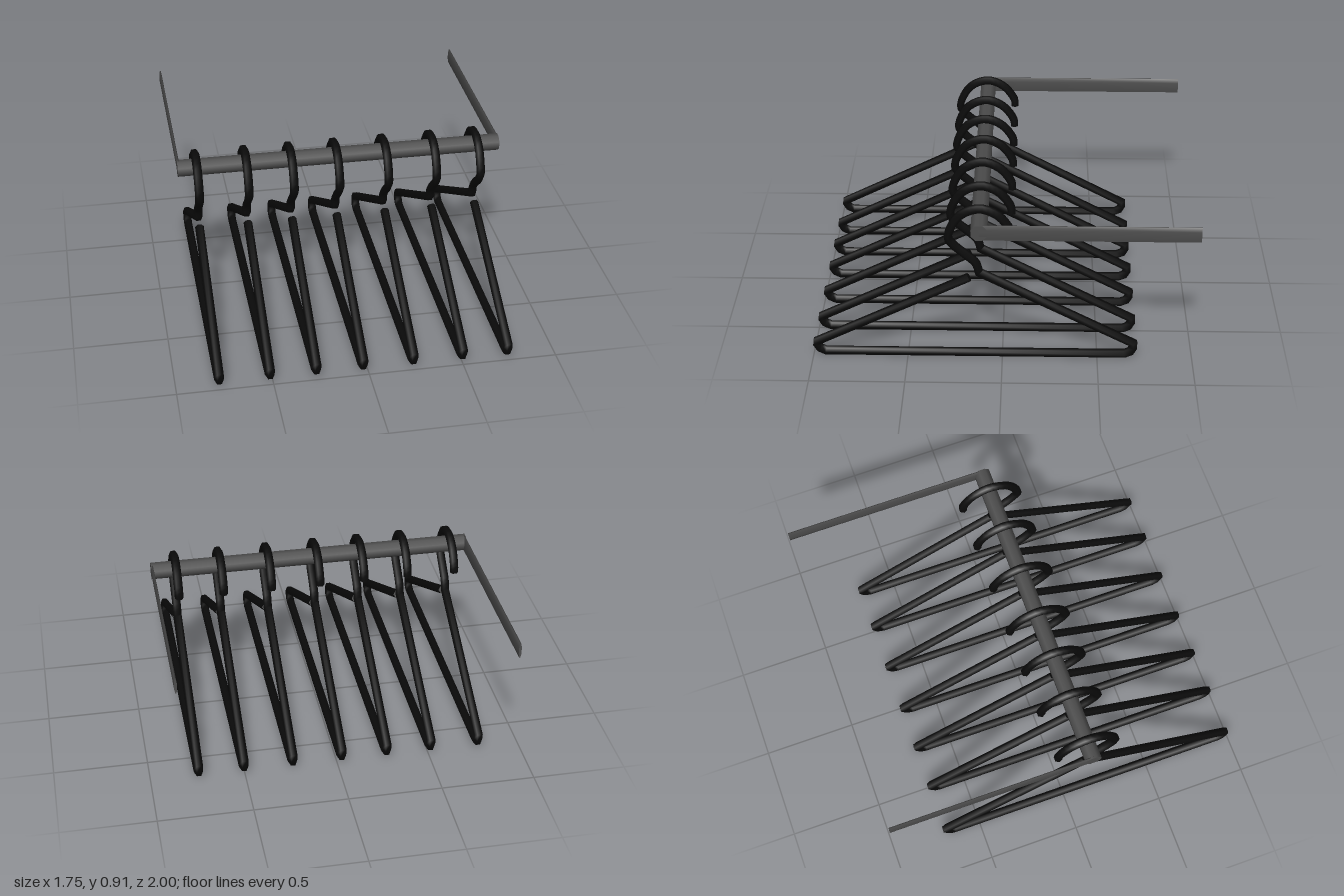
import * as THREE from 'three';

const SIDES = 6, RADIUS = 0.0235;

// Sweeps a hexagonal wire along a path of (z, y) points in the x = 0 plane, with mitred corners.
function wireGeometry(path) {
  const pos = [], idx = [];
  const dir = (a, b) => b.clone().sub(a).normalize();
  const last = path.length - 1;
  const ring = (i) => {
    const before = dir(path[Math.max(i - 1, 0)], path[Math.max(i, 1)]);
    const after = dir(path[Math.min(i, last - 1)], path[Math.min(i + 1, last)]);
    const t = before.clone().add(after).normalize();
    const mitre = 1 / Math.max(t.dot(after), 0.5);
    for (let j = 0; j < SIDES; j++) {
      const a = (j / SIDES) * Math.PI * 2;
      const r = RADIUS * Math.sin(a) * mitre;
      pos.push(RADIUS * Math.cos(a), path[i].y + t.x * r, path[i].x - t.y * r);
    }
  };
  path.forEach((_, i) => ring(i));
  for (let i = 0; i < last; i++) {
    for (let j = 0; j < SIDES; j++) {
      const k = (j + 1) % SIDES, p = i * SIDES, q = p + SIDES;
      idx.push(p + j, p + k, q + k, p + j, q + k, q + j);
    }
  }
  // flat end caps with their own vertices
  const cap = (last + 1) * SIDES;
  ring(0);
  ring(last);
  for (let j = 1; j < SIDES - 1; j++) {
    idx.push(cap, cap + j + 1, cap + j);
    idx.push(cap + SIDES, cap + SIDES + j, cap + SIDES + j + 1);
  }
  const g = new THREE.BufferGeometry();
  g.setAttribute('position', new THREE.Float32BufferAttribute(pos, 3));
  g.setIndex(idx);
  g.computeVertexNormals();
  return g;
}

function hangerPath() {
  const v = ([z, y]) => new THREE.Vector2(z, y);
  // hook and neck
  const hook = new THREE.SplineCurve([
    [-0.043, 0.73], [-0.035, 0.78], [0.025, 0.855], [0.12, 0.89], [0.222, 0.845],
    [0.277, 0.735], [0.247, 0.676], [0.185, 0.62], [0.137, 0.572], [0.12, 0.515],
  ].map(v)).getPoints(32);
  // shoulders and bottom bar, left open below the neck
  const body = [
    [-0.69, 0.086], [-0.69, 0.062], [-0.675, 0.034], [-0.645, 0.021],
    [0.935, 0.021], [0.965, 0.036], [0.98, 0.062], [0.978, 0.08], [0.172, 0.485],
  ].map(v);
  return [...hook, ...body];
}

export function createModel() {
  const model = new THREE.Group();
  const black = new THREE.MeshStandardMaterial({ color: 0x0a0a0a });
  const grey = new THREE.MeshStandardMaterial({ color: 0x4c4c4c });

  // Eight-sided bars with flats on top and front
  const bar = (name, length) => {
    const g = new THREE.CylinderGeometry(0.0455, 0.0455, length, 8);
    g.rotateY(Math.PI / 8);
    const m = new THREE.Mesh(g, grey);
    m.name = name;
    model.add(m);
    return m;
  };

  // Cross rail
  const rail = bar('rail', 1.752);
  rail.geometry.rotateZ(Math.PI / 2);
  rail.position.set(0, 0.822, 0.115);

  // Thin arms running back to the wall
  for (const side of [-1, 1]) {
    const arm = bar(side > 0 ? 'leftArm' : 'rightArm', 1.115);
    arm.geometry.rotateX(Math.PI / 2);
    arm.geometry.scale(0.17, 1, 1);
    arm.geometry.computeVertexNormals();
    arm.position.set(side * 0.869, 0.822, -0.4425);
  }

  // Row of hangers
  const hangerGeometry = wireGeometry(hangerPath());
  [-0.777, -0.514, -0.272, -0.026, 0.24, 0.503, 0.745].forEach((x, i) => {
    const hanger = new THREE.Mesh(hangerGeometry, black);
    hanger.name = `hanger${i + 1}`;
    hanger.position.x = x;
    model.add(hanger);
  });
  return model;
}
